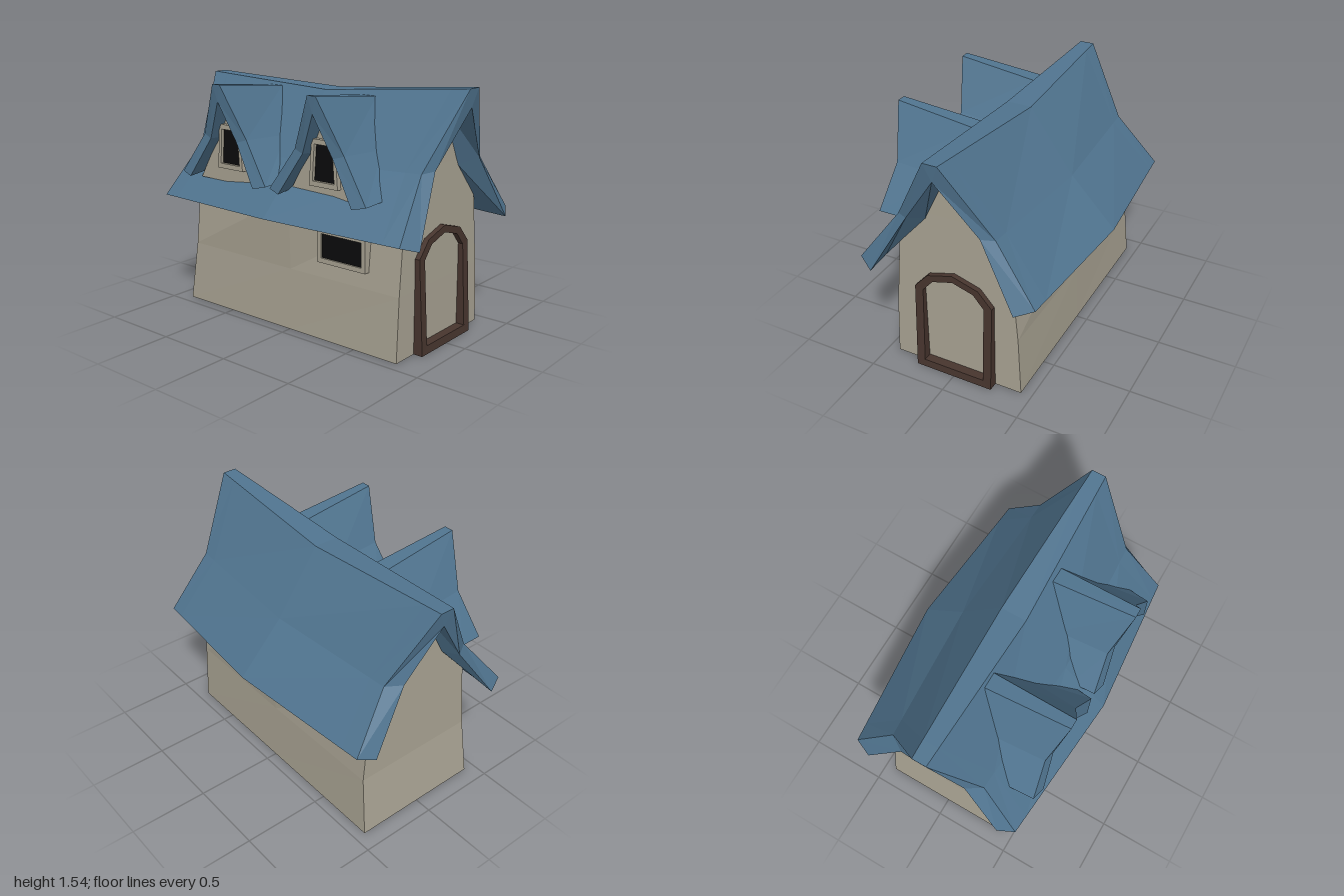
import * as THREE from 'three';

const material = (name, color) => {
  const m = new THREE.MeshStandardMaterial({ color, flatShading: true, side: THREE.DoubleSide });
  m.name = name;
  return m;
};

function named(geometry, mat, name) {
  const mesh = new THREE.Mesh(geometry, mat);
  mesh.name = name;
  return mesh;
}

// Geometry from four-cornered faces, corners counterclockwise
function fromQuads(quads) {
  const pos = [];
  for (const [a, b, c, d] of quads) pos.push(...a, ...b, ...c, ...a, ...c, ...d);
  const g = new THREE.BufferGeometry();
  g.setAttribute('position', new THREE.Float32BufferAttribute(pos, 3));
  g.computeVertexNormals();
  return g;
}

// Half profile (eave, kink, ridge) mirrored into a full row from +x to -x
const fullRow = (half) => [...half, ...half.map(([x, y, z]) => [-x, y, z]).reverse()];

// Thick folded roof between outer and inner rows, listed front to back
function roofSlab(outerHalves, innerHalves) {
  const O = outerHalves.map(fullRow), I = innerHalves.map(fullRow);
  const quads = [], last = O.length - 1, n = O[0].length - 1;
  for (let s = 0; s < last; s++) {
    for (let c = 0; c < n; c++) {
      quads.push([O[s][c], O[s + 1][c], O[s + 1][c + 1], O[s][c + 1]]);
      quads.push([I[s][c], I[s][c + 1], I[s + 1][c + 1], I[s + 1][c]]);
    }
    quads.push([O[s][0], I[s][0], I[s + 1][0], O[s + 1][0]]);
    quads.push([O[s][n], O[s + 1][n], I[s + 1][n], I[s][n]]);
  }
  for (let c = 0; c < n; c++) {
    quads.push([O[0][c], O[0][c + 1], I[0][c + 1], I[0][c]]);
    quads.push([O[last][c], I[last][c], I[last][c + 1], O[last][c + 1]]);
  }
  return fromQuads(quads);
}

const lerpRow = (a, b, t) => a.map((p, i) => p.map((v, k) => v + (b[i][k] - v) * t));

// Symmetrical outline from its right-hand points, bottom to top
const outline = (pts) => [...pts, ...pts.filter((p) => p[0] > 0).map(([x, y]) => [-x, y]).reverse()]
  .map(([x, y]) => new THREE.Vector2(x, y));

function plate(outer, z, depth, inner) {
  const shape = new THREE.Shape(outline(outer));
  if (inner) shape.holes.push(new THREE.Path(outline(inner)));
  return new THREE.ExtrudeGeometry(shape, { depth, bevelEnabled: false }).translate(0, 0, z);
}

export function createModel() {
  const plaster = material('plaster', 0xa8a292);
  const slate = material('blue roof', 0x50748f);
  const wood = material('dark wood', 0x47352e);
  const glass = material('black glass', 0x0b0b0c);
  const house = new THREE.Group();
  house.name = 'house';

  // Side walls: leaning in at the ends, bulging in the middle
  const sections = [
    [[0.43, 0, 0.81], [0.41, 0.39, 0.808], [0.365, 0.86, 0.803]],
    [[0.43, 0, 0], [0.415, 0.39, 0], [0.428, 0.85, 0]],
    [[0.43, 0, -0.89], [0.41, 0.39, -0.84], [0.365, 0.86, -0.83]],
  ];
  const walls = [];
  for (let s = 0; s < 2; s++) {
    for (let r = 0; r < 2; r++) {
      const q = [sections[s][r], sections[s + 1][r], sections[s + 1][r + 1], sections[s][r + 1]];
      walls.push(q, q.map(([x, y, z]) => [-x, y, z]).reverse());
    }
  }
  // Gable walls, their upper edges tucked into the roof
  for (const [row, front, z] of [[sections[0], true, 0.8], [sections[2], false, -0.825]]) {
    const topY = front ? 1.46 : 1.41;
    const rows = [...row, [0.2, 1.09, z], [0, topY, z]];
    for (let r = 0; r < rows.length - 1; r++) {
      const [a, b] = [rows[r], rows[r + 1]];
      const q = [[-a[0], a[1], a[2]], a, b, [-b[0], b[1], b[2]]];
      walls.push(front ? q : q.reverse());
    }
  }
  house.add(named(fromQuads(walls), plaster, 'walls'));

  // Sagging main roof
  const frontOuter = [[0.57, 0.74, 0.915], [0.31, 1.09, 0.87], [0.045, 1.54, 1]];
  const midOuter = [[0.65, 0.755, 0], [0.36, 1.06, 0], [0.08, 1.455, 0]];
  const backOuter = [[0.565, 0.735, -0.953], [0.31, 1.06, -0.87], [0.045, 1.49, -1]];
  house.add(named(roofSlab(
    [frontOuter, lerpRow(frontOuter, midOuter, 0.12), midOuter, lerpRow(backOuter, midOuter, 0.12), backOuter],
    [
      [[0.465, 0.705, 0.975], [0.235, 1.1, 0.91], [0, 1.43, 0.985]],
      [[0.475, 0.709, 0.8], [0.18, 1.05, 0.8], [0, 1.425, 0.8]],
      [[0.54, 0.735, 0], [0.2, 1.02, 0], [0, 1.37, 0]],
      [[0.475, 0.709, -0.83], [0.18, 1.04, -0.83], [0, 1.385, -0.83]],
      [[0.46, 0.705, -0.998], [0.215, 1.06, -0.93], [0, 1.385, -0.985]],
    ]), slate, 'mainRoof'));

  // Door frame, thicker toward the ground
  const frame = plate(
    [[0.257, 0], [0.257, 0.58], [0.168, 0.68], [0, 0.73]], 0.785, 0.085,
    [[0.203, 0.05], [0.203, 0.565], [0.135, 0.645], [0, 0.685]]);
  const p = frame.attributes.position;
  for (let i = 0; i < p.count; i++) {
    if (p.getZ(i) > 0.83) p.setZ(i, 0.87 - 0.033 * Math.min(1, p.getY(i) / 0.4));
  }
  frame.computeVertexNormals();
  house.add(named(frame, wood, 'doorFrame'));

  // Groups that look out to the right-hand side of the house
  const sideGroup = (name, z) => {
    const g = new THREE.Group();
    g.name = name;
    g.rotation.y = -Math.PI / 2;
    g.position.z = z;
    house.add(g);
    return g;
  };

  // Dormers with small windows
  for (const z of [0.34, -0.405]) {
    const dormer = sideGroup('dormer', z);
    dormer.add(named(roofSlab(
      [
        [[0.355, 0.925, 0.575], [0.18, 1.18, 0.545], [0.03, 1.505, 0.61]],
        [[0.365, 0.935, 0.42], [0.2, 1.17, 0.22], [0.05, 1.45, 0.08]],
      ],
      [
        [[0.27, 0.905, 0.595], [0.11, 1.16, 0.56], [0, 1.4, 0.6]],
        [[0.28, 0.92, 0.42], [0.12, 1.14, 0.25], [0, 1.36, 0.15]],
      ]), slate, 'dormerRoof'));
    dormer.add(named(plate([[0.29, 0.88], [0.13, 1.15], [0, 1.42]], 0.47, 0.01), plaster, 'dormerWall'));
    const pane = [[0.08, 1.0], [0.065, 1.215]];
    dormer.add(named(plate([[0.105, 0.97], [0.085, 1.245]], 0.475, 0.035, pane), plaster, 'dormerWindowFrame'));
    dormer.add(named(plate(pane, 0.482, 0.008), glass, 'dormerWindowPane'));
  }

  // Wall window, seen from outside and inside
  const win = sideGroup('wallWindow', 0.41);
  const pane = [[0.148, 0.52], [0.148, 0.67]];
  win.add(named(plate([[0.178, 0.49], [0.178, 0.7]], 0.378, 0.06, pane), plaster, 'windowFrame'));
  for (const z of [0.383, 0.42]) win.add(named(plate(pane, z, 0.008), glass, 'windowPane'));

  return house;
}
